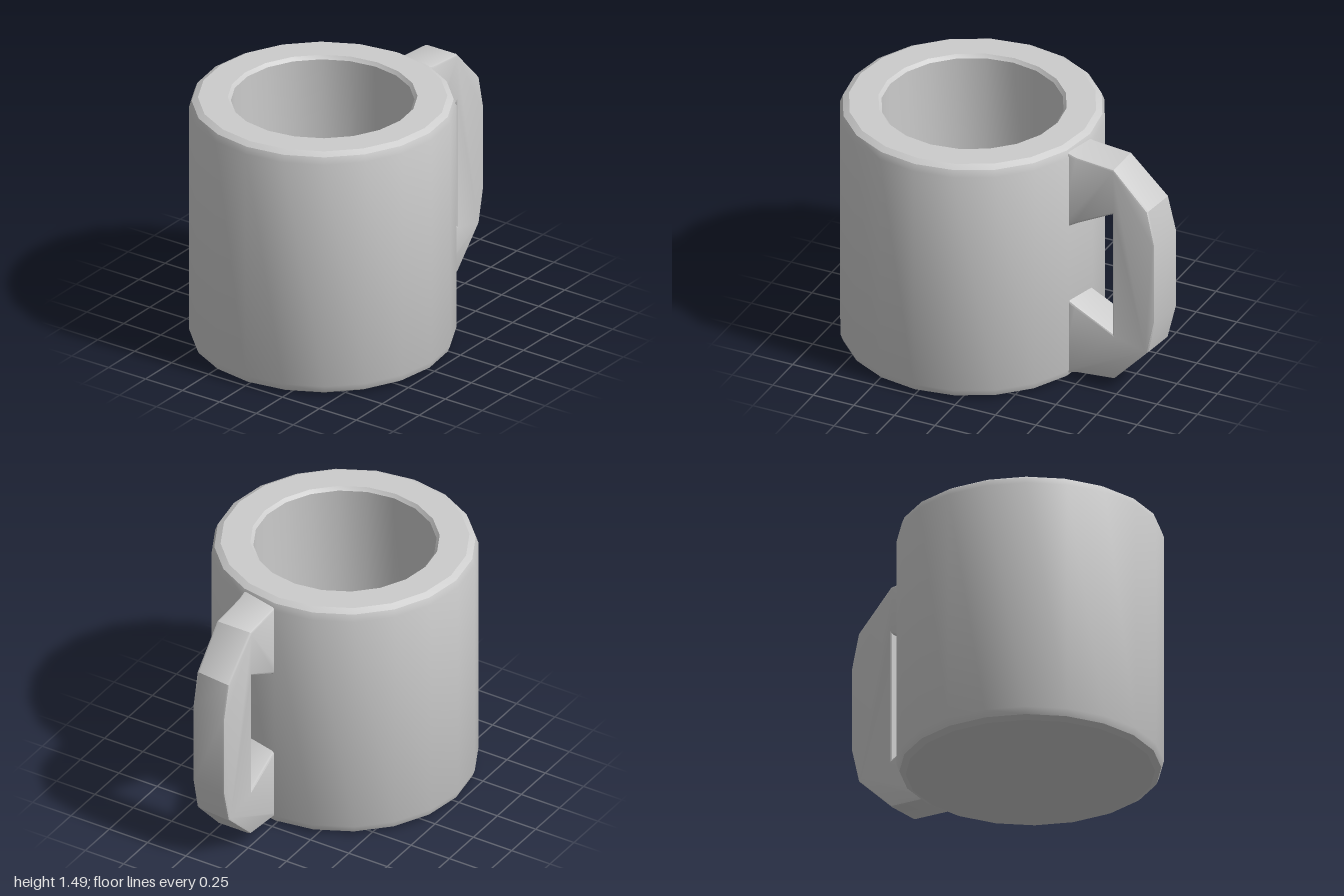
import * as THREE from 'three';
import { toCreasedNormals } from 'three/addons/utils/BufferGeometryUtils.js';

const points = (list) => list.map(([x, y]) => new THREE.Vector2(x, y));

export function createModel() {
  const model = new THREE.Group();
  model.name = 'mug';
  const material = new THREE.MeshStandardMaterial({ color: 0xcccccc });

  const addPart = (name, geometry, crease) => {
    const mesh = new THREE.Mesh(toCreasedNormals(geometry, crease), material);
    mesh.name = name;
    model.add(mesh);
    return mesh;
  };

  // Thick-walled cup: base, bevelled outside, rim, then down the inside
  const profile = points([
    [0, 0], [0.69, 0], [0.725, 0.02], [0.74, 0.06],
    [0.74, 1.425], [0.725, 1.465], [0.69, 1.485],
    [0.525, 1.485], [0.508, 1.465],
    [0.508, 0.22], [0.495, 0.2], [0, 0.2],
  ]);
  const cup = addPart('cup', new THREE.LatheGeometry(profile, 20), 0.5);
  cup.position.x = -0.26;

  // Handle: angular C outline, flaring slightly where it meets the cup
  const upperHalf = [
    [0.38, 0.725], [0.49, 0.69], [0.72, 0.67], [0.95, 0.45], [1, 0.245],
  ];
  const upperHole = [[0.71, 0.38], [0.49, 0.265], [0.38, 0.2]];
  const middle = 0.745;
  const half = [...upperHole.slice().reverse(), ...upperHalf.slice().reverse()];
  const outer = upperHalf.map(([x, y]) => [x, middle + y]);
  const outerLow = upperHalf.map(([x, y]) => [x, middle - y]).reverse();
  const holeLow = upperHole.map(([x, y]) => [x, middle - y]).reverse();
  const hole = upperHole.map(([x, y]) => [x, middle + y]);
  const shape = new THREE.Shape(points([...outer, ...outerLow, ...holeLow, ...hole]));

  const depth = 0.225, bevel = 0.014;
  const handle = new THREE.ExtrudeGeometry(shape, {
    depth: depth - 2 * bevel,
    bevelEnabled: true,
    bevelThickness: bevel,
    bevelSize: bevel,
    bevelOffset: -bevel,
    bevelSegments: 2,
  });
  handle.translate(0, 0, bevel);

  // The grip leans inward towards the front
  const position = handle.attributes.position;
  for (let i = 0; i < position.count; i++) {
    const x = position.getX(i);
    const reach = Math.max(0, (x - 0.72) / 0.28);
    position.setX(i, x - 0.03 * reach * (position.getZ(i) / depth));
  }
  addPart('handle', handle, 0.5);

  return model;
}
